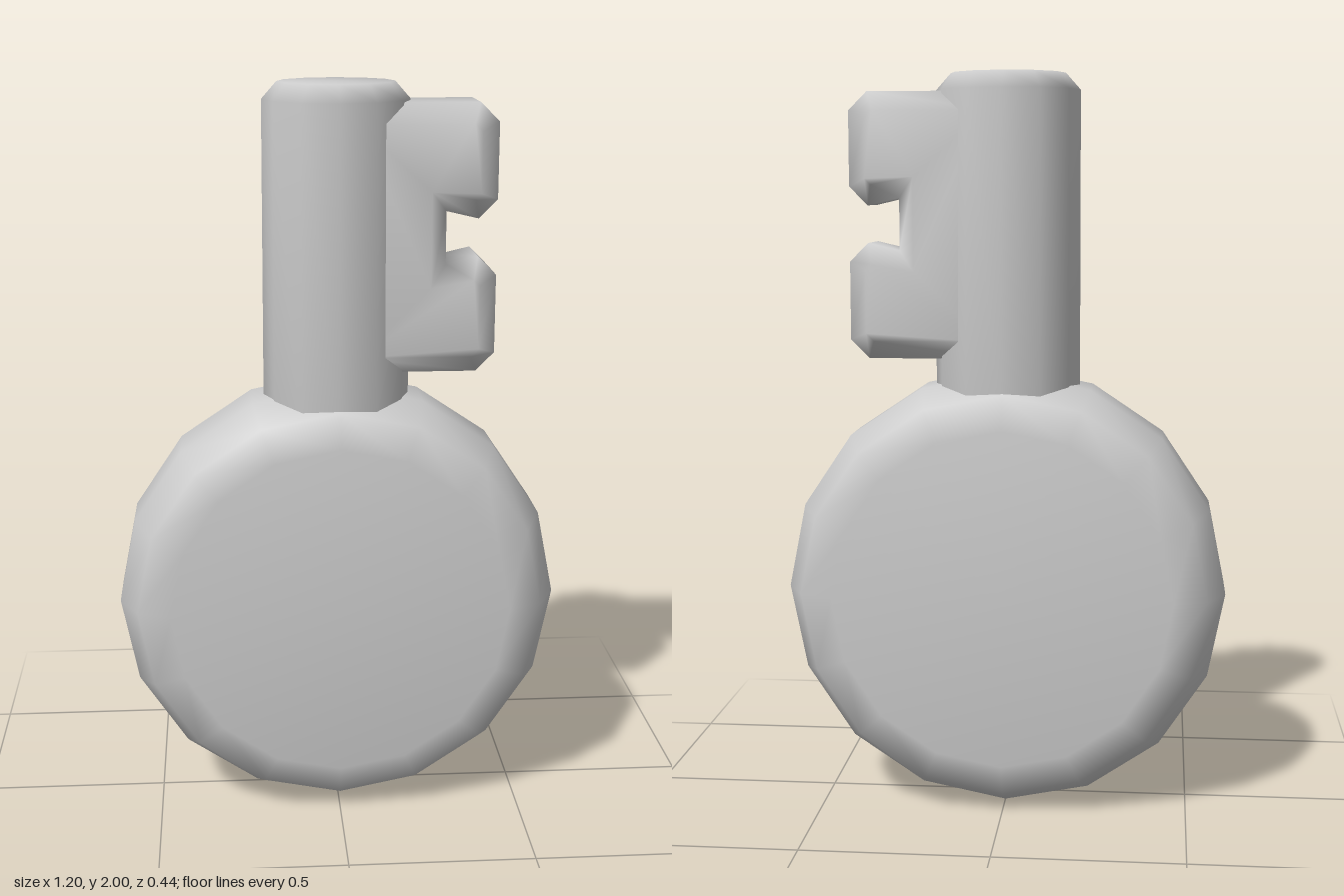
import * as THREE from 'three';
import { mergeVertices } from 'three/addons/utils/BufferGeometryUtils.js';

// Weld the vertices so that large flat faces blend softly into their bevels
function soften(geometry) {
  geometry.deleteAttribute('uv');
  geometry.deleteAttribute('normal');
  const welded = mergeVertices(geometry, 1e-4);
  welded.computeVertexNormals();
  return welded;
}

const points = (list) => list.map(([x, y]) => new THREE.Vector2(x, y));

export function createModel() {
  const group = new THREE.Group();
  const metal = new THREE.MeshStandardMaterial({ color: 0xcccccc });
  metal.name = 'grey metal';

  const add = (name, geometry) => {
    const mesh = new THREE.Mesh(soften(geometry), metal);
    mesh.name = name;
    group.add(mesh);
  };

  // Round bow: a thick disc with a two-step bevel, facing front
  const bow = new THREE.LatheGeometry(points([
    [0, -0.22], [0.46, -0.22], [0.55, -0.18], [0.6, -0.08],
    [0.6, 0.08], [0.55, 0.18], [0.46, 0.22], [0, 0.22],
  ]), 16);
  bow.rotateX(Math.PI / 2).translate(0, 0.604, 0);
  add('bow', bow);

  // Oval shaft with a chamfered tip, sunk into the bow
  const shaft = new THREE.LatheGeometry(points([
    [0, 1.0], [0.198, 1.0], [0.195, 1.955], [0.155, 2], [0, 2],
  ]), 12);
  shaft.rotateY(Math.PI / 2).scale(1, 1, 0.885);
  add('shaft', shaft);

  // Bit: a bevelled spine with two square teeth on the left side
  const bit = new THREE.ExtrudeGeometry(new THREE.Shape(points([
    [0, 1.24], [0.37, 1.24], [0.42, 1.29], [0.42, 1.5], [0.37, 1.55], [0.285, 1.53],
    [0.285, 1.67], [0.37, 1.65], [0.42, 1.7], [0.42, 1.9], [0.37, 1.95], [0, 1.95],
  ])), {
    depth: 0.16, bevelEnabled: true, bevelSegments: 1,
    bevelThickness: 0.05, bevelSize: 0.05, bevelOffset: -0.05,
  });
  bit.translate(0, 0, -0.08);
  add('bit', bit);

  return group;
}
